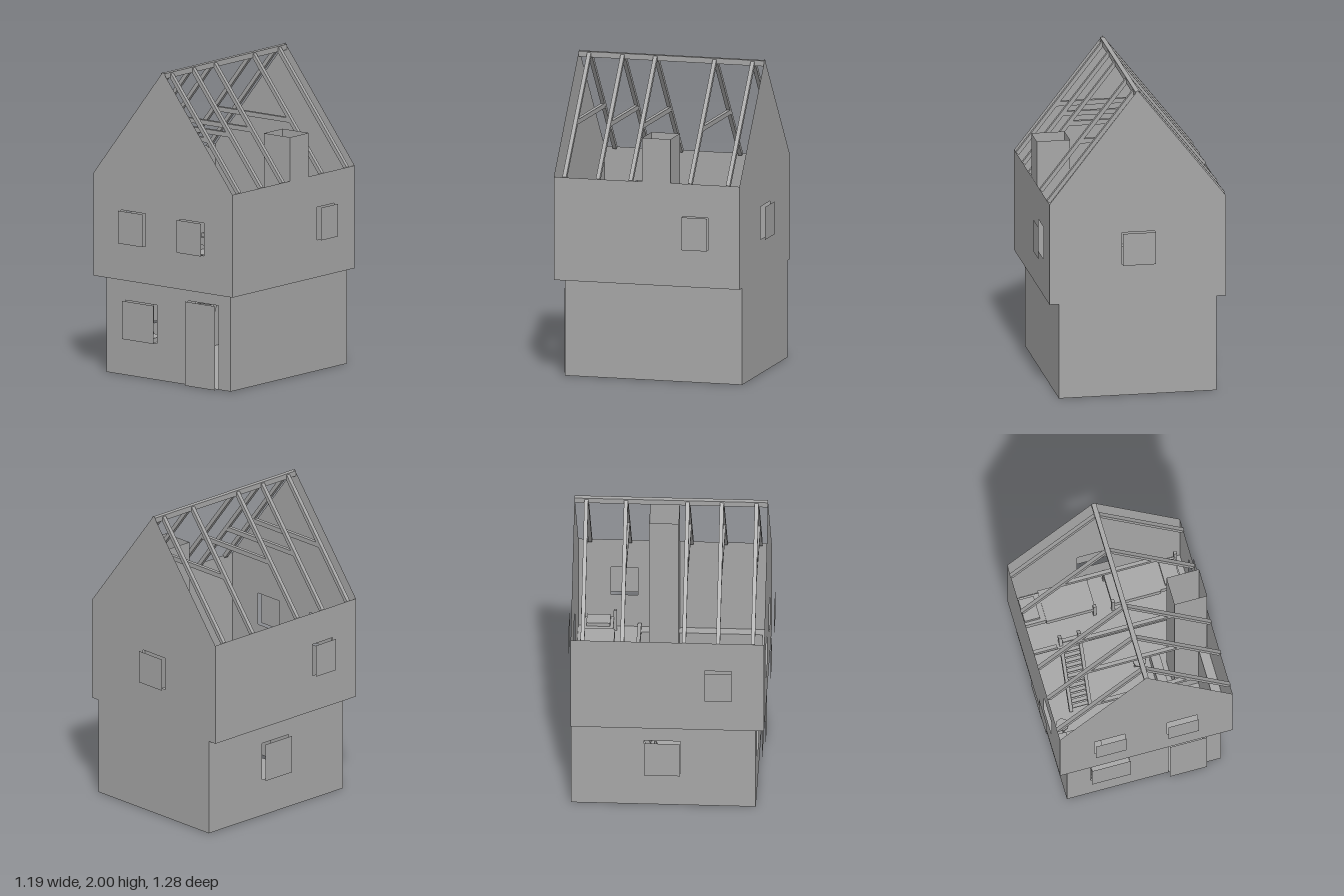
import * as THREE from 'three';

const grey = new THREE.MeshStandardMaterial({ color: 0xa6a6a6, side: THREE.DoubleSide });
grey.name = 'plainGrey';

const rectPoints = ([a, b, c, d]) => [[a, b], [c, b], [c, d], [a, d]].map(p => new THREE.Vector2(...p));

export function createModel() {
  const house = new THREE.Group();
  house.name = 'house';

  const add = (name, geometry, x = 0, y = 0, z = 0, parent = house) => {
    const mesh = new THREE.Mesh(geometry, grey);
    mesh.name = name;
    mesh.position.set(x, y, z);
    parent.add(mesh);
    return mesh;
  };
  // Box given by its minimum and maximum corners
  const box = (name, x0, y0, z0, x1, y1, z1, parent = house) =>
    add(name, new THREE.BoxGeometry(x1 - x0, y1 - y0, z1 - z0),
      (x0 + x1) / 2, (y0 + y1) / 2, (z0 + z1) / 2, parent);
  // Flat sheet with rectangular holes [x0, y0, x1, y1]
  const sheet = (points, holes = []) => {
    const shape = new THREE.Shape(points);
    for (const h of holes) shape.holes.push(new THREE.Path(rectPoints(h).reverse()));
    return new THREE.ShapeGeometry(shape);
  };
  // Square beam between two points
  const beam = (name, a, b, width, depth) => {
    const p = new THREE.Vector3(...a), q = new THREE.Vector3(...b);
    const m = add(name, new THREE.BoxGeometry(width, depth, p.distanceTo(q)));
    m.position.copy(p).add(q).multiplyScalar(0.5);
    m.lookAt(q);
    return m;
  };

  const PROUD = 0.032; // panels stand clear of their openings
  // Wall facing along z or x, with a panel in front of every opening
  const wall = (name, points, openings, axis, at) => {
    const g = new THREE.Group();
    g.name = name;
    if (axis === 'x') { g.rotation.y = -Math.PI / 2; g.position.x = at; } else g.position.z = at;
    const out = Math.sign(at) * (axis === 'x' ? -1 : 1) * PROUD;
    add(name + 'Sheet', sheet(points, openings), 0, 0, 0, g);
    for (const o of openings) add(name + 'Panel', sheet(rectPoints(o)), 0, 0, out, g);
    house.add(g);
  };

  // Outer walls
  const gable = [[-0.565, 0.62], [0.565, 0.62], [0.565, 1.28], [0, 2], [-0.565, 1.28]];
  const backGable = [[-0.505, 0], [0.505, 0], [0.505, 0.62], ...gable.slice(1), gable[0], [-0.505, 0.62]];
  const vec = list => list.map(p => new THREE.Vector2(...p));
  wall('frontUpperWall', vec(gable), [[-0.34, 0.86, -0.14, 1.07], [0.135, 0.86, 0.335, 1.07]], 'z', 0.61);
  wall('backWall', vec(backGable), [[-0.11, 0.86, 0.1, 1.07]], 'z', -0.61);
  wall('rightUpperWall', rectPoints([-0.61, 0.62, 0.61, 1.28]), [[0.235, 0.86, 0.405, 1.07]], 'x', -0.565);
  wall('leftUpperWall', rectPoints([-0.61, 0.62, 0.61, 1.28]), [[-0.405, 0.86, -0.235, 1.07]], 'x', 0.565);
  wall('rightLowerWall', rectPoints([-0.61, 0, 0.555, 0.62]), [[-0.15, 0.24, 0.08, 0.485]], 'x', -0.505);
  wall('leftLowerWall', rectPoints([-0.61, 0, 0.555, 0.62]), [], 'x', 0.505);

  // Front lower wall outline steps round the doorway
  const frontLower = vec([[-0.505, 0], [0.16, 0], [0.16, 0.54], [0.405, 0.54], [0.405, 0],
    [0.505, 0], [0.505, 0.62], [-0.505, 0.62]]);
  wall('frontLowerWall', frontLower, [[-0.35, 0.235, -0.095, 0.48]], 'z', 0.555);
  add('door', sheet(rectPoints([0.16, 0, 0.405, 0.54])), 0, 0, 0.555 + PROUD);
  box('doorBar', 0.278, 0.11, 0.578, 0.286, 0.44, 0.586);
  box('doorBarStem', 0.278, 0.267, 0.555, 0.286, 0.275, 0.58);

  // Ground floor, and the upper floor open over the front room
  const flat = geometry => geometry.rotateX(Math.PI / 2);
  add('groundFloor', flat(sheet(rectPoints([-0.505, -0.61, 0.505, 0.555]))));
  add('loftFloor', flat(sheet(rectPoints([-0.565, -0.61, 0.565, 0.61]), [[-0.505, -0.21, 0.505, 0.555]])), 0, 0.62, 0);
  box('loftEdgeRight', -0.56, 0.62, -0.235, -0.35, 0.65, -0.212);
  box('loftEdgeLeft', -0.14, 0.62, -0.235, 0.56, 0.65, -0.212);

  // Open roof frame
  box('ridgeBeam', -0.015, 1.955, -0.61, 0.015, 1.99, 0.61);
  for (const z of [0.54, 0.32, 0.105, -0.285, -0.535]) {
    for (const s of [-1, 1]) beam('rafter', [s * 0.008, 1.976, z], [s * 0.56, 1.276, z], 0.025, 0.025);
    if (z > -0.5) box('collarTie', -0.31, 1.575, z - 0.012, 0.31, 1.605, z + 0.012);
  }

  // Chimney, open at the top
  for (const z of [-0.155, 0.03]) add('chimneySide', sheet(rectPoints([0.35, 0, 0.505, 1.56])), 0, 0, z);
  for (const z of [-0.155, 0.03]) add('chimneyStackSide', sheet(rectPoints([0.505, 0.62, 0.562, 1.56])), 0, 0, z);
  for (const [x, y] of [[0.35, 0], [0.562, 0.62]]) {
    add('chimneyFace', sheet(rectPoints([-0.155, y, 0.03, 1.56])), x).rotation.y = -Math.PI / 2;
  }

  // Steep stair to the loft
  for (const x of [-0.32, -0.195]) beam('stairStringer', [x, 0.02, -0.005], [x, 0.68, -0.265], 0.022, 0.03);
  for (let i = 1; i < 15; i++) {
    const t = i / 15, z = -0.27 * t;
    box('stairTread', -0.31, 0.68 * t - 0.005, z - 0.012, -0.205, 0.68 * t + 0.005, z + 0.012);
  }

  // Two beds in the loft
  for (const s of [-1, 1]) {
    const bed = new THREE.Group();
    bed.name = 'bed';
    bed.position.set(s * 0.29, 0.62, -0.478);
    bed.rotation.y = s < 0 ? Math.PI : 0;
    house.add(bed);
    box('mattress', -0.23, 0.05, -0.095, 0.23, 0.1, 0.095, bed);
    box('blanket', -0.235, 0.06, -0.107, 0.085, 0.108, 0.107, bed);
    box('pillow', 0.12, 0.1, -0.075, 0.22, 0.125, 0.075, bed);
    for (const x of [-0.23, 0.235]) for (const z of [-0.103, 0.103])
      box('bedPost', x - 0.01, 0, z - 0.01, x + 0.01, 0.15, z + 0.01, bed);
  }

  // Kitchen counter with sink and burners
  box('counter', -0.487, 0, 0.19, -0.32, 0.2, 0.468);
  box('counterTray', -0.46, 0.2, 0.195, -0.41, 0.215, 0.27);
  box('counterBoard', -0.44, 0.2, 0.3, -0.37, 0.206, 0.395);
  const drum = (name, x, y, z, r, h) => add(name, new THREE.CylinderGeometry(r, r * 0.85, h, 10), x, y + h / 2, z);
  drum('pot', -0.45, 0.2, 0.435, 0.022, 0.04);
  drum('cup', -0.36, 0.2, 0.437, 0.012, 0.025);

  // Table, settee and bench
  box('tableTop', -0.285, 0.17, 0.2, -0.21, 0.185, 0.385);
  for (const x of [-0.28, -0.215]) for (const z of [0.24, 0.345])
    box('tableLeg', x - 0.008, 0, z - 0.008, x + 0.008, 0.17, z + 0.008);
  box('setteeSeat', -0.31, 0, 0.4, -0.065, 0.1, 0.525);
  box('setteeBack', -0.31, 0.1, 0.505, -0.065, 0.2, 0.525);
  box('bench', 0.25, 0, -0.2, 0.31, 0.12, 0.09);

  // Stools and barrels
  for (const [x, z] of [[-0.41, 0.11], [0.175, -0.17]]) {
    add('stoolSeat', new THREE.CylinderGeometry(0.042, 0.042, 0.015, 8), x, 0.12, z);
    for (let i = 0; i < 3; i++) {
      const a = i * Math.PI * 2 / 3;
      drum('stoolLeg', x + 0.03 * Math.sin(a), 0, z + 0.03 * Math.cos(a), 0.006, 0.115);
    }
  }
  drum('largeBarrel', 0.44, 0, 0.488, 0.04, 0.12);
  drum('smallBarrel', 0.452, 0, 0.395, 0.028, 0.09);

  return house;
}
